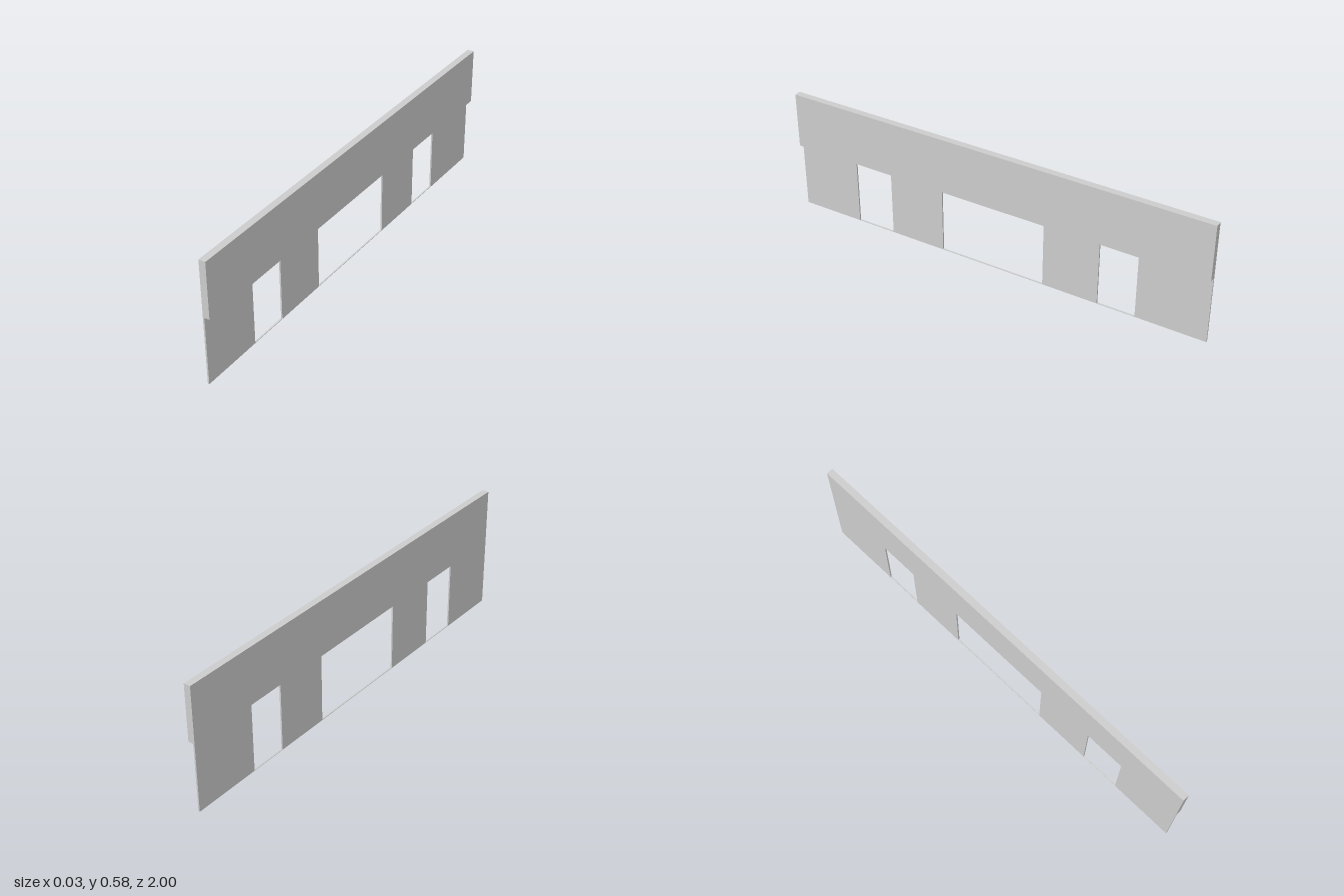
import * as THREE from 'three';

const LENGTH = 2, HEIGHT = 0.578, HEADER_BOTTOM = 0.318;
const BACK = -0.0155, STEP = -0.0085, FRONT = 0.0155, SILL = 0.002;

export function createModel() {
  const group = new THREE.Group();
  const material = new THREE.MeshStandardMaterial({ color: 0xcccccc, flatShading: true });

  const add = (name, geometry) => {
    const mesh = new THREE.Mesh(geometry, material);
    mesh.name = name;
    group.add(mesh);
    return mesh;
  };

  const rectangle = (path, x0, y0, x1, y1) =>
    path.moveTo(x0, y0).lineTo(x1, y0).lineTo(x1, y1).lineTo(x0, y1).closePath();

  // Thin wall panel drawn along -z, with a door, a wide gateway and a door
  const wall = rectangle(new THREE.Shape(), -LENGTH / 2, 0, LENGTH / 2, HEIGHT);
  const openings = [[-0.705, -0.52], [-0.255, 0.245], [0.505, 0.68]];
  for (const [a, b] of openings) {
    wall.holes.push(rectangle(new THREE.Path(), a, SILL, b, HEADER_BOTTOM));
  }
  const wallGeometry = new THREE.ExtrudeGeometry(wall, { depth: STEP - BACK, bevelEnabled: false });
  wallGeometry.rotateY(Math.PI / 2).translate(BACK, 0, 0);
  add('wallPanel', wallGeometry);

  // Thick header band projecting over the openings
  const header = add('header', new THREE.BoxGeometry(FRONT - STEP, HEIGHT - HEADER_BOTTOM, LENGTH));
  header.position.set((FRONT + STEP) / 2, (HEIGHT + HEADER_BOTTOM) / 2, 0);

  return group;
}
